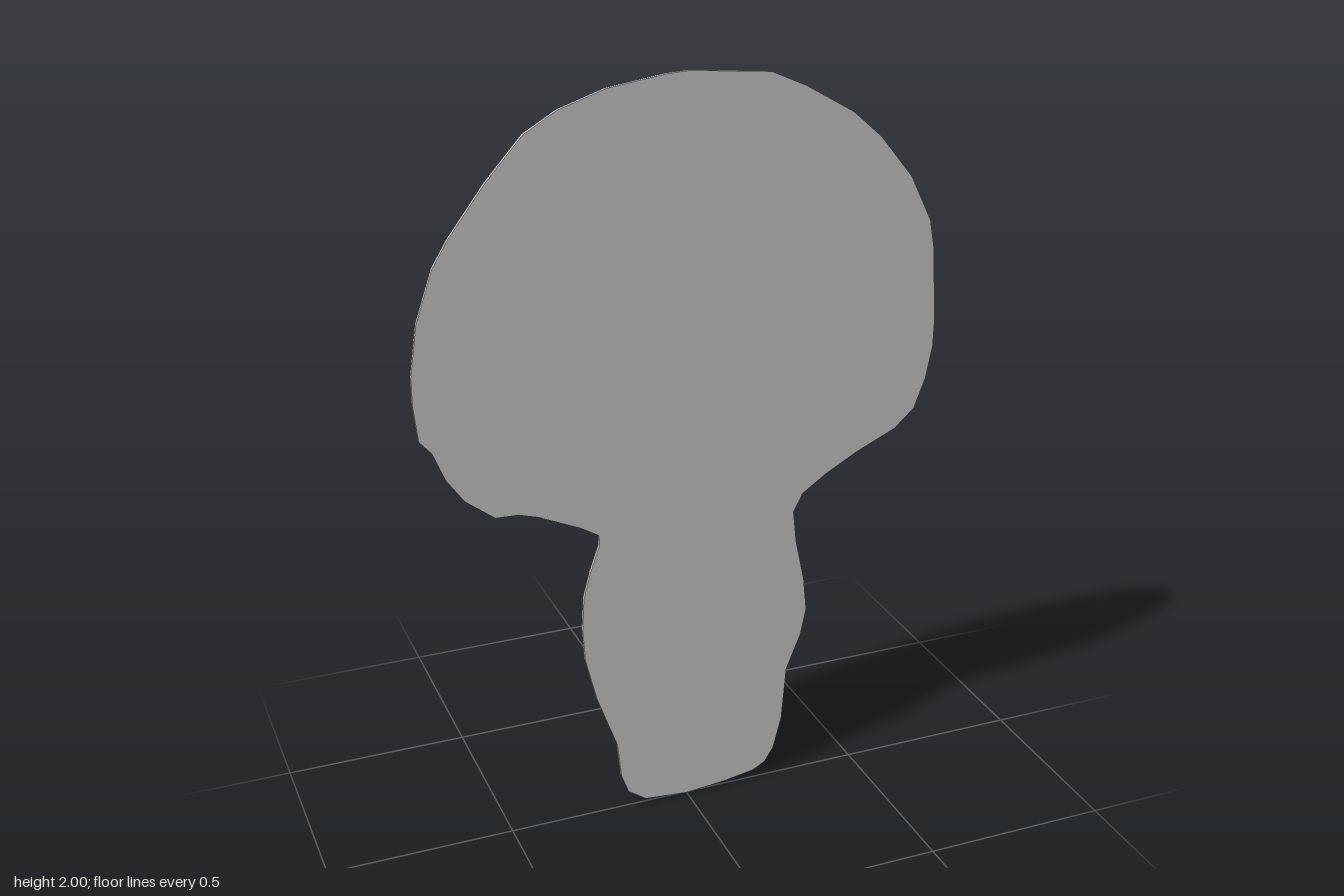
import * as THREE from 'three';

const THICKNESS = 0.01;

// Each half of the outline runs from the base up to the crown, as [x, y]
const rightStem = [
  [0, 0], [-0.12, 0.01], [-0.17, 0.045], [-0.19, 0.1], [-0.2, 0.2], [-0.255, 0.355],
  [-0.285, 0.48], [-0.29, 0.57], [-0.285, 0.66], [-0.265, 0.735], [-0.24, 0.805], [-0.24, 0.835],
];
const rightCap = [
  [-0.29, 0.865], [-0.4, 0.915], [-0.45, 0.93], [-0.51, 0.932], [-0.585, 0.99], [-0.63, 1.055],
  [-0.66, 1.13], [-0.69, 1.165], [-0.7, 1.26], [-0.7, 1.33], [-0.68, 1.46], [-0.635, 1.59],
  [-0.595, 1.655], [-0.5, 1.78], [-0.405, 1.885], [-0.32, 1.935], [-0.2, 1.975], [-0.05, 1.997],
];
const leftStem = [
  [0.11, 0.01], [0.2, 0.025], [0.235, 0.045], [0.26, 0.085], [0.283, 0.175], [0.295, 0.33],
  [0.335, 0.43], [0.35, 0.505], [0.34, 0.6], [0.315, 0.715], [0.305, 0.805], [0.33, 0.855],
];
const leftCap = [
  [0.395, 0.9], [0.485, 0.95], [0.595, 1], [0.65, 1.05], [0.68, 1.13], [0.697, 1.22],
  [0.698, 1.285], [0.685, 1.485], [0.67, 1.565], [0.61, 1.685], [0.52, 1.795], [0.44, 1.865],
  [0.31, 1.94], [0.22, 1.98], [0.01, 2],
];

export function createModel() {
  const group = new THREE.Group();
  group.name = 'mushroomCutout';

  // Closed outline: up the right side, over the crown, down the left side
  const outline = [...rightStem, ...rightCap, ...[...leftStem, ...leftCap].reverse()];
  const shape = new THREE.Shape(outline.map(([x, y]) => new THREE.Vector2(x, y)));

  // Thin flat plate centred on z = 0
  const geometry = new THREE.ExtrudeGeometry(shape, { depth: THICKNESS, bevelEnabled: false });
  geometry.translate(0, 0, -THICKNESS / 2);

  const plate = new THREE.Mesh(geometry, new THREE.MeshStandardMaterial({ color: 0xcccccc }));
  plate.name = 'mushroomPlate';
  group.add(plate);
  return group;
}
